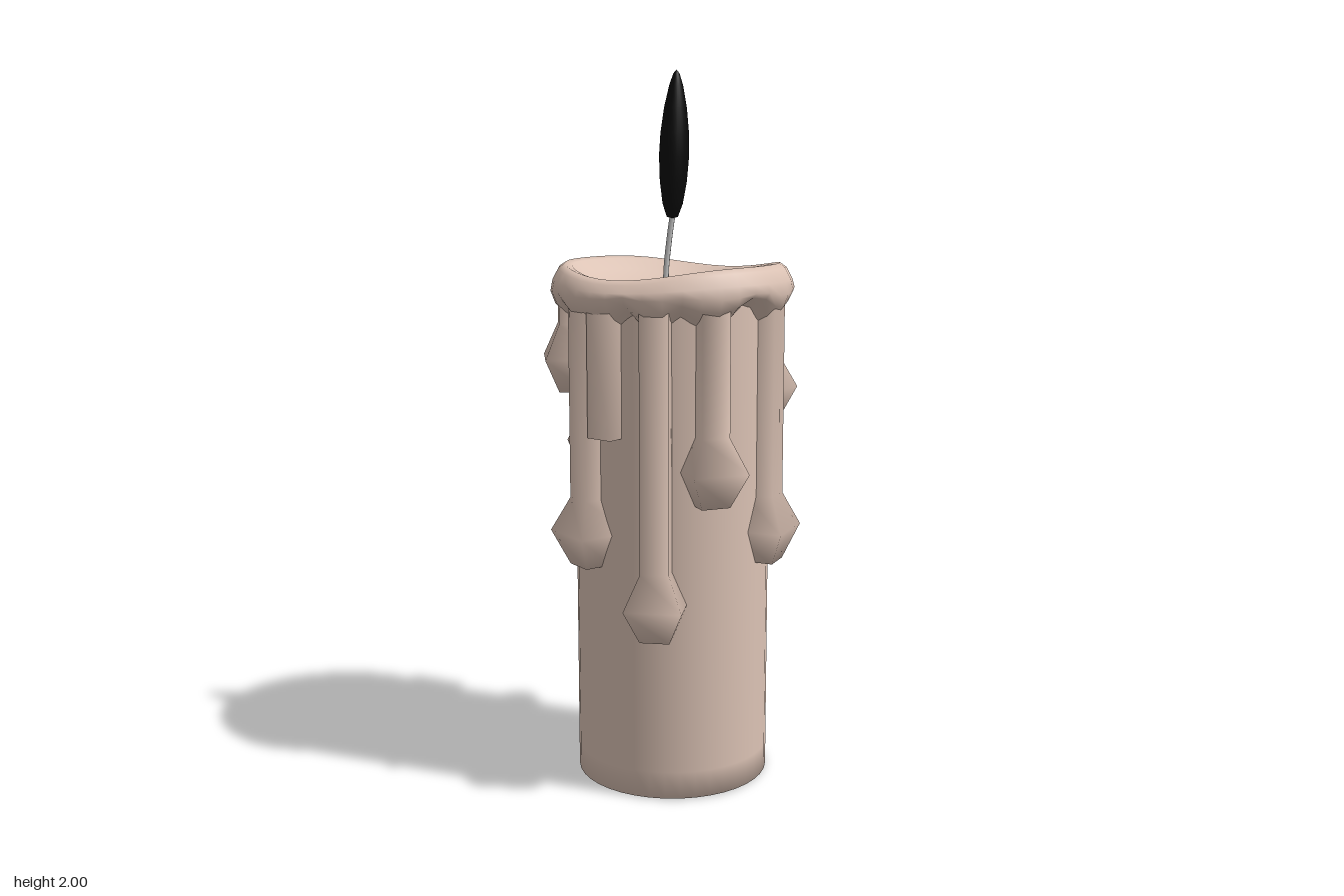
import * as THREE from 'three';
import { mergeVertices } from 'three/addons/utils/BufferGeometryUtils.js';

const wax = new THREE.MeshStandardMaterial({ color: 0xdcc3b5, side: THREE.DoubleSide });
const black = new THREE.MeshStandardMaterial({ color: 0x0a0a0a });
const grey = new THREE.MeshStandardMaterial({ color: 0xcccccc });

const lathe = (pts, seg, phi = 0) =>
  new THREE.LatheGeometry(pts.map(p => new THREE.Vector2(p[0], p[1])), seg, phi);

// Wax runs: x and z of the run, bottom height, bulb at the end, corner turned outwards
const DRIPS = [
  { x: -0.14, z: 0.335, y: 0.65, bulb: true },
  { x: 0.14, z: 0.335, y: 0.47, bulb: true },
  { x: 0.29, z: 0.22, y: 0.84, bulb: true },
  { x: 0.36, z: -0.048, y: 0.65, bulb: true },
  { x: 0.26, z: -0.245, y: 1.02, bulb: true, corner: true },
  { x: -0.04, z: -0.355, y: 1.12, bulb: true },
  { x: -0.22, z: -0.29, y: 0.57, bulb: true },
  { x: -0.36, z: 0, y: 0.84, bulb: true, corner: true },
  { x: -0.285, z: 0.22, y: 1.12, bulb: true },
  { x: -0.04, z: 0.335, y: 1.02, bulb: false },
];
const angleOf = d => Math.atan2(d.x, d.z);

// Square-section run, optionally swelling into a faceted bulb
function makeDrip(d) {
  const k = Math.SQRT2, top = 1.4;
  const pts = d.bulb
    ? [[0, d.y], [0.041 * k, d.y], [0.08 * k, d.y + 0.095], [0.04 * k, d.y + 0.19], [0.04 * k, top]]
    : [[0, d.y], [0.04 * k, d.y], [0.04 * k, top]];
  const mesh = new THREE.Mesh(lathe(pts, 4, Math.PI / 4), wax);
  const a = angleOf(d), r = d.corner ? 0.255 : 0.28;
  mesh.position.set(Math.sin(a) * r, 0, Math.cos(a) * r);
  mesh.rotation.y = a + (d.corner ? Math.PI / 4 : 0);
  mesh.name = 'waxDrip';
  return mesh;
}

// Overhanging melted rim and pool: dips front and back, underside arches up between runs
function makeRim() {
  const geo = lathe([
    [0.262, 1.31], [0.3, 1.335], [0.328, 1.365], [0.341, 1.4], [0.335, 1.435], [0.318, 1.468],
    [0.3, 1.48], [0.28, 1.474], [0.25, 1.445], [0.2, 1.415], [0.12, 1.4], [0, 1.395],
  ], 40);
  geo.deleteAttribute('uv');
  geo.deleteAttribute('normal');
  const p = geo.attributes.position;
  for (let i = 0; i < p.count; i++) {
    const x = p.getX(i), y = p.getY(i), z = p.getZ(i), r = Math.hypot(x, z);
    if (r < 0.15) continue;
    const a = Math.atan2(x, z);
    let near = Math.PI;
    for (const d of DRIPS) {
      const diff = a - angleOf(d);
      near = Math.min(near, Math.abs(Math.atan2(Math.sin(diff), Math.cos(diff))));
    }
    const arch = 0.07 * Math.min(1, Math.max(0, near - 0.1) / 0.25) * Math.min(1, Math.max(0, (1.42 - y) / 0.1));
    const dip = 0.032 * Math.cos(a) ** 4 * Math.min(1, Math.max(0, (y - 1.4) / 0.06));
    p.setY(i, y + (r > 0.255 ? arch : 0) - dip);
  }
  const merged = mergeVertices(geo, 1e-4);
  merged.computeVertexNormals();
  return new THREE.Mesh(merged, wax);
}

export function createModel() {
  const group = new THREE.Group();
  const add = (mesh, name) => { mesh.name = name; group.add(mesh); return mesh; };

  // Candle column with a softly shaded foot
  add(new THREE.Mesh(lathe([[0, 0], [0.22, 0], [0.275, 0.003], [0.275, 0.08], [0.275, 1.41]], 40), wax), 'candleBody');
  add(makeRim(), 'meltedRim');

  const drips = new THREE.Group();
  drips.name = 'waxDrips';
  DRIPS.forEach(d => drips.add(makeDrip(d)));
  group.add(drips);

  // Curved wick
  const path = new THREE.CatmullRomCurve3([
    new THREE.Vector3(-0.01, 1.38, 0.02), new THREE.Vector3(-0.008, 1.46, 0.02),
    new THREE.Vector3(0.003, 1.55, 0.02), new THREE.Vector3(0.016, 1.63, 0.02),
  ]);
  add(new THREE.Mesh(new THREE.TubeGeometry(path, 12, 0.008, 8), grey), 'wick');

  // Pointed flame, leaning slightly to the side
  const flame = add(new THREE.Mesh(lathe([
    [0, 0], [0.015, 0.004], [0.027, 0.04], [0.036, 0.1], [0.04, 0.17], [0.038, 0.23],
    [0.03, 0.3], [0.018, 0.36], [0.008, 0.39], [0, 0.4],
  ], 24), black), 'flame');
  flame.position.set(0.012, 1.6, 0.021);
  flame.rotation.z = -0.035;
  flame.scale.z = 1.12;

  return group;
}
